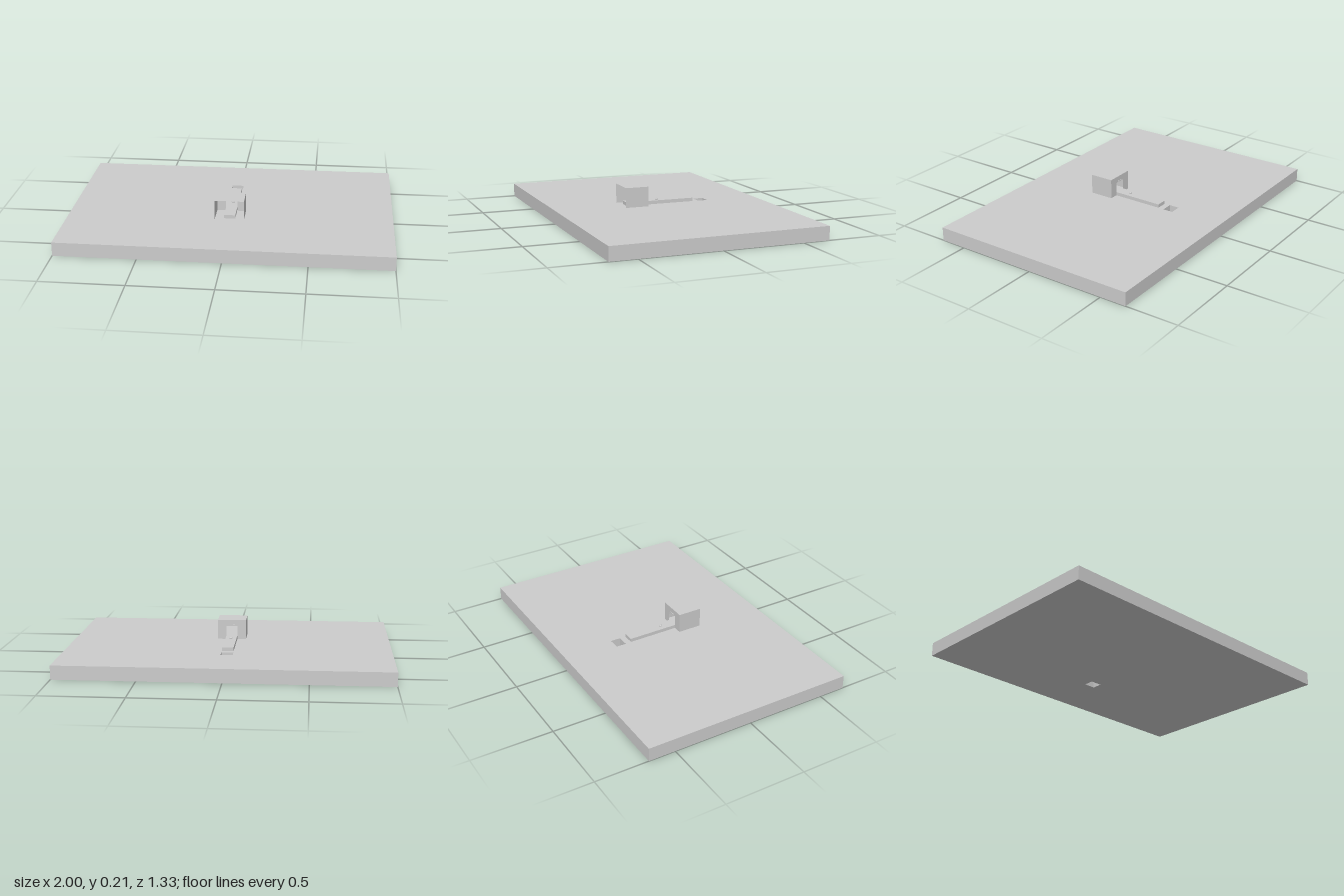
import * as THREE from 'three';

const PLATE_TOP = 0.085;

export function createModel() {
  const model = new THREE.Group();
  const solid = new THREE.MeshStandardMaterial({ color: 0xcccccc, flatShading: true });
  const thin = new THREE.MeshStandardMaterial({ color: 0xcccccc, side: THREE.DoubleSide });

  const add = (parent, name, geometry, material, x = 0, y = 0, z = 0) => {
    const mesh = new THREE.Mesh(geometry, material);
    mesh.name = name;
    mesh.position.set(x, y, z);
    parent.add(mesh);
    return mesh;
  };

  // Rectangle outline between two corners
  const rect = (Type, x0, y0, x1, y1) => new Type([
    new THREE.Vector2(x0, y0), new THREE.Vector2(x1, y0),
    new THREE.Vector2(x1, y1), new THREE.Vector2(x0, y1),
  ]);

  // Base plate with a square hole cut right through behind the track
  const plate = rect(THREE.Shape, -1, -0.667, 1, 0.667);
  plate.holes.push(rect(THREE.Path, -0.037, 0.273, 0.037, 0.337));
  const plateGeometry = new THREE.ExtrudeGeometry(plate, { depth: PLATE_TOP, bevelEnabled: false });
  plateGeometry.rotateX(-Math.PI / 2);
  add(model, 'basePlate', plateGeometry, solid);

  // Raised track running from inside the shelter towards the hole
  add(model, 'track', new THREE.BoxGeometry(0.07, 0.022, 0.445), solid, 0, PLATE_TOP + 0.011, -0.0125);

  // Thin-walled shelter, open at the front, with a doorway in the rear wall
  const shelter = new THREE.Group();
  shelter.name = 'shelter';
  model.add(shelter);
  const half = 0.09, height = 0.124, depth = 0.15, back = 0.085;
  const middle = back + depth / 2;
  for (const side of [-1, 1]) {
    const wall = add(shelter, side > 0 ? 'leftWall' : 'rightWall', new THREE.PlaneGeometry(depth, height),
      thin, side * half, PLATE_TOP + height / 2, middle);
    wall.rotation.y = side * Math.PI / 2;
  }
  const roof = add(shelter, 'roof', new THREE.PlaneGeometry(half * 2, depth), thin, 0, PLATE_TOP + height, middle);
  roof.rotation.x = -Math.PI / 2;
  const rear = rect(THREE.Shape, -half, 0, half, height);
  rear.holes.push(rect(THREE.Path, -0.036, 0.016, 0.036, 0.085));
  add(shelter, 'rearWall', new THREE.ShapeGeometry(rear), thin, 0, PLATE_TOP, back);

  // Small lintel over the doorway
  add(shelter, 'lintel', new THREE.BoxGeometry(0.04, 0.006, 0.004), solid, 0, 0.176, back - 0.002);

  // Tiny bead resting on the track
  const bead = add(model, 'bead', new THREE.SphereGeometry(0.01, 10, 6), solid, 0, 0.109, 0);
  bead.scale.set(1, 0.8, 0.8);

  return model;
}
